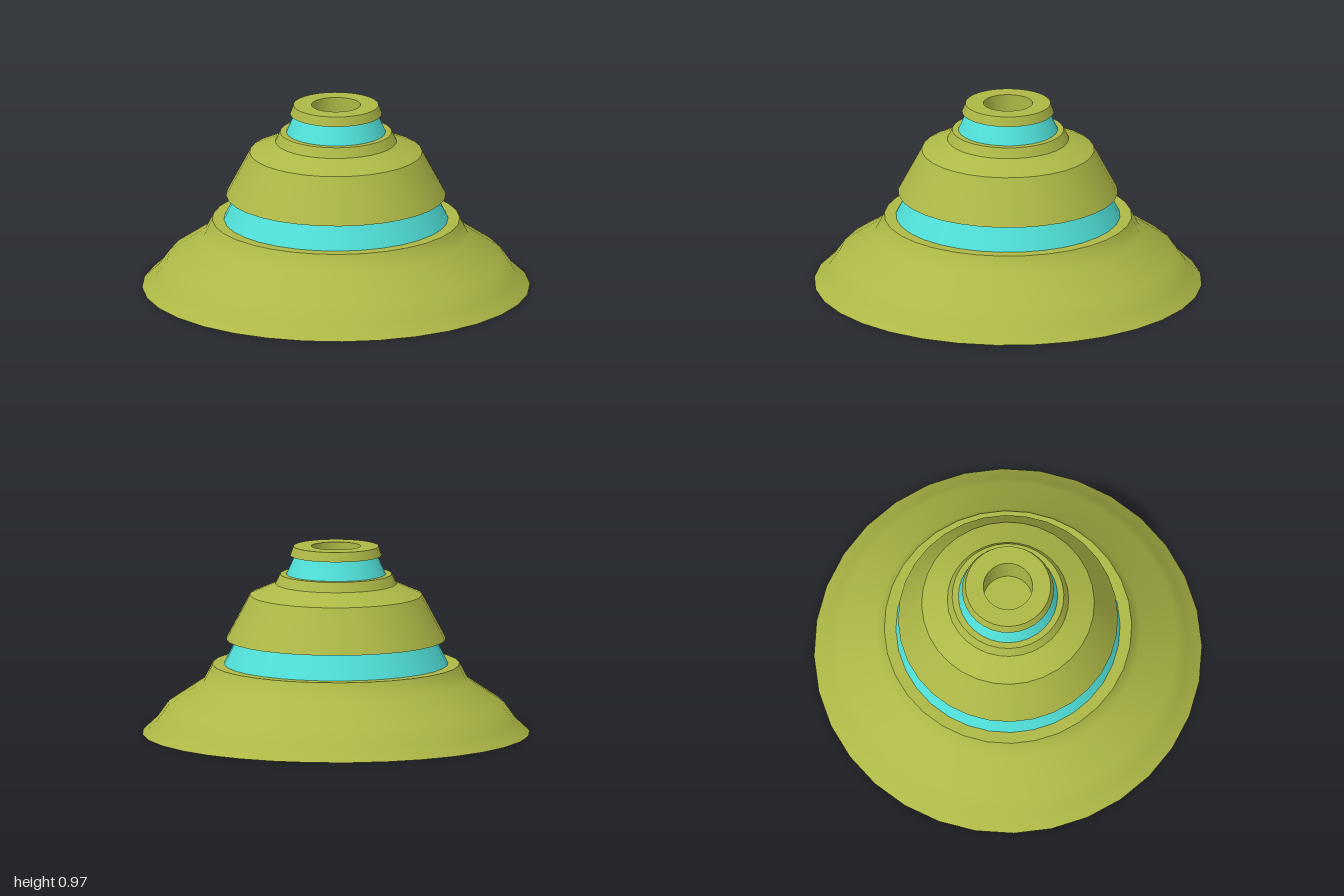
import * as THREE from 'three';

const SEGMENTS = 32;

export function createModel() {
  const model = new THREE.Group();
  model.name = 'steppedCone';

  const olive = new THREE.MeshStandardMaterial({ color: 0xaeb846 });
  olive.name = 'olive';
  const turquoise = new THREE.MeshStandardMaterial({ color: 0x50e0d9 });
  turquoise.name = 'turquoise';

  // Each section is a list of smooth strips; separate strips meet at a sharp edge.
  // Profiles run as [radius, height] from the bottom outwards and up.
  function section(name, material, strips) {
    const group = new THREE.Group();
    group.name = name;
    strips.forEach((strip, i) => {
      const points = strip.map(([r, y]) => new THREE.Vector2(r, y));
      const mesh = new THREE.Mesh(new THREE.LatheGeometry(points, SEGMENTS), material);
      mesh.name = `${name}Surface${i + 1}`;
      group.add(mesh);
    });
    model.add(group);
  }

  // Flared foot with a closed underside and a flat ledge on top
  section('flaredBase', olive, [
    [[0, 0], [1, 0]],
    [[1, 0], [0.925, 0.07], [0.868, 0.15], [0.682, 0.275], [0.638, 0.36]],
    [[0.638, 0.36], [0.578, 0.36]],
  ]);

  section('lowerBand', turquoise, [[[0.578, 0.36], [0.512, 0.49]]]);

  // Middle tier: overhanging lip, sloping wall, shoulder and small collar
  section('middleTier', olive, [
    [[0.512, 0.49], [0.567, 0.49]],
    [[0.567, 0.49], [0.445, 0.72]],
    [[0.445, 0.72], [0.313, 0.778]],
    [[0.313, 0.778], [0.288, 0.828]],
    [[0.288, 0.828], [0.256, 0.828]],
  ]);

  section('upperBand', turquoise, [[[0.256, 0.828], [0.213, 0.925]]]);

  // Top ring with a round blind hole
  section('topCap', olive, [
    [[0.213, 0.925], [0.237, 0.925]],
    [[0.237, 0.925], [0.22, 0.973]],
    [[0.22, 0.973], [0.127, 0.973]],
    [[0.127, 0.973], [0.127, 0.78]],
    [[0.127, 0.78], [0, 0.78]],
  ]);

  return model;
}
